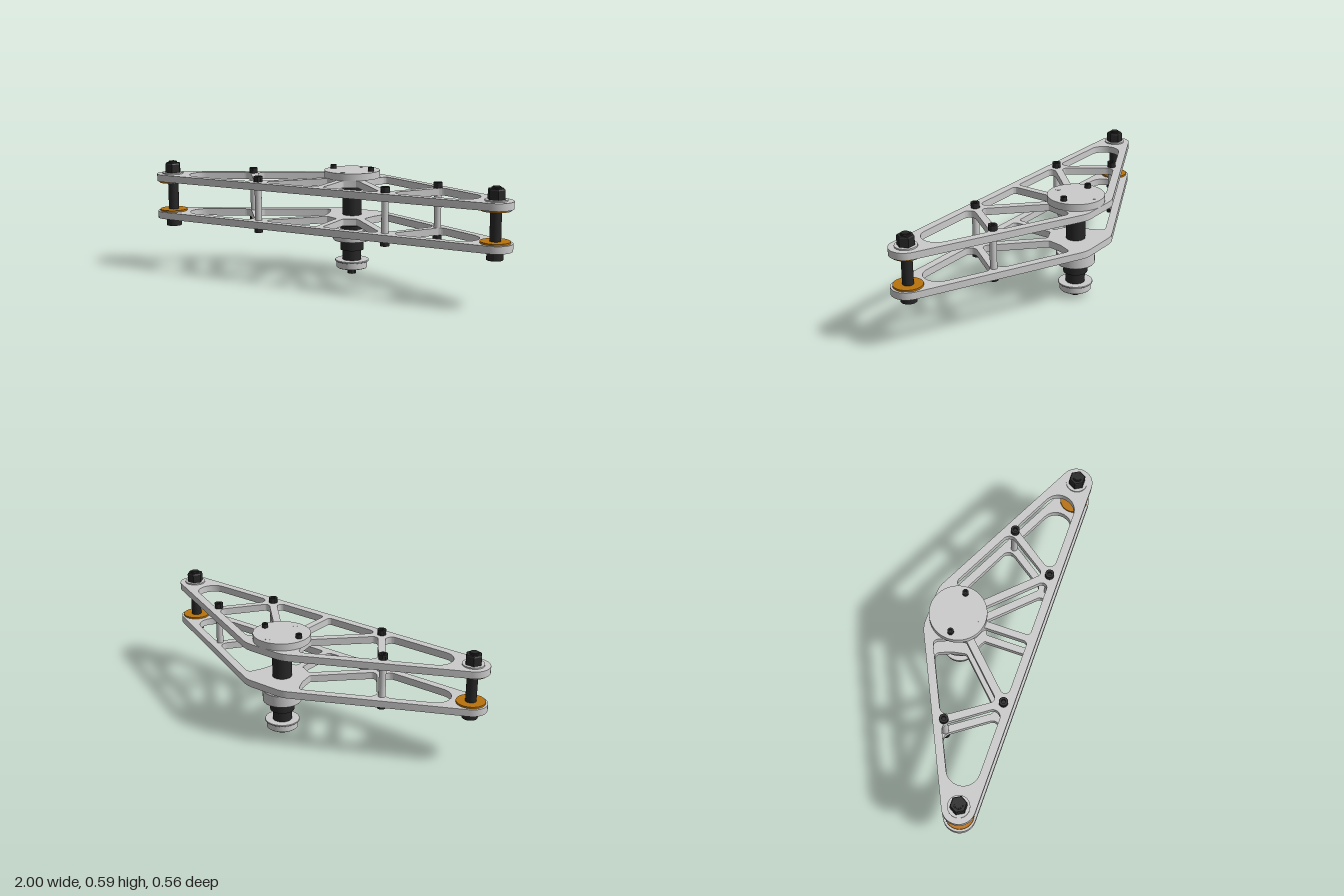
import * as THREE from 'three';
import { toCreasedNormals } from 'three/addons/utils/BufferGeometryUtils.js';

const grey = new THREE.MeshStandardMaterial({ color: 0xcccccc });
const black = new THREE.MeshStandardMaterial({ color: 0x262626 });
const amber = new THREE.MeshStandardMaterial({ color: 0xb9730c });
const HUB_Z = -0.135;

// Polygon of [x, z, radius] corners with true tangent-arc rounding
function roundedPoints(corners) {
  const out = [];
  corners.forEach(([x, z, r], i) => {
    const p = new THREE.Vector2(x, z);
    const n = corners.length, a = corners[(i + n - 1) % n], b = corners[(i + 1) % n];
    const u = new THREE.Vector2(a[0], a[1]).sub(p).normalize();
    const v = new THREE.Vector2(b[0], b[1]).sub(p).normalize();
    const half = Math.acos(u.dot(v)) / 2;
    const c = u.clone().add(v).normalize().multiplyScalar(r / Math.sin(half)).add(p);
    const start = u.multiplyScalar(r / Math.tan(half)).add(p).sub(c).angle();
    const end = v.multiplyScalar(r / Math.tan(half)).add(p).sub(c).angle();
    let sweep = end - start;
    if (sweep > Math.PI) sweep -= 2 * Math.PI;
    if (sweep < -Math.PI) sweep += 2 * Math.PI;
    for (let k = 0; k <= 12; k++) {
      const t = start + sweep * k / 12;
      out.push(new THREE.Vector2(c.x + r * Math.cos(t), c.y + r * Math.sin(t)));
    }
  });
  return out;
}

// Extrude an x/z shape between two heights
function slab(shape, y0, y1) {
  const g = new THREE.ExtrudeGeometry(shape, { depth: y1 - y0, bevelEnabled: false, curveSegments: 32 });
  g.rotateX(Math.PI / 2).translate(0, y1, 0);
  return toCreasedNormals(g, 0.6);
}

function add(parent, name, geometry, material, x = 0, z = 0) {
  const m = new THREE.Mesh(geometry, material);
  m.name = name;
  m.position.set(x, 0, z);
  parent.add(m);
}

// Upright cylinder between two heights
function rod(parent, name, r, y0, y1, material, x = 0, z = 0, sides = 40) {
  const g = new THREE.CylinderGeometry(r, r, y1 - y0, sides).translate(0, (y0 + y1) / 2, 0);
  add(parent, name, g, material, x, z);
}

// Hexagonal prism or taper with corners on the x axis
function hexPrism(parent, name, r, rTop, y0, y1) {
  const g = new THREE.CylinderGeometry(rTop, r, y1 - y0, 6).rotateY(Math.PI / 6).translate(0, (y0 + y1) / 2, 0);
  add(parent, name, toCreasedNormals(g, 0.3), black);
}

// Cap screw head with a hexagonal socket opening up or down
function capHead(parent, name, r, y0, y1, up, x = 0, z = 0) {
  const s = new THREE.Shape().absarc(0, 0, r, 0, Math.PI * 2);
  const hex = new THREE.Path();
  hex.setFromPoints([0, 1, 2, 3, 4, 5].map(i =>
    new THREE.Vector2(r * 0.52 * Math.cos(i * Math.PI / 3), r * 0.52 * Math.sin(i * Math.PI / 3))));
  s.holes.push(hex);
  add(parent, name, slab(s, y0, y1), black, x, z);
  const h = (y1 - y0) / 2;
  rod(parent, name + 'SocketFloor', r * 0.7, up ? y0 : y0 + h, up ? y1 - h : y1, black, x, z, 24);
}

// Bearing ring turned from a section with chamfered outer edges
function ring(parent, name, rIn, rOut, y0, y1, material, c = 0.002) {
  const pts = [[rIn, y0], [rOut - c, y0], [rOut, y0 + c], [rOut, y1 - c], [rOut - c, y1], [rIn, y1], [rIn, y0]];
  const g = new THREE.LatheGeometry(pts.map(p => new THREE.Vector2(...p)), 56);
  add(parent, name, toCreasedNormals(g, 0.5), material, 0, HUB_Z);
}

function trussShape() {
  // Counter-clockwise outline, so that the window walls face inward
  const shape = new THREE.Shape(roundedPoints([
    [-0.114, -0.282, 0.15], [0.114, -0.282, 0.15], [1.279, 0.282, 0.083], [-1.279, 0.282, 0.083]]));
  const windows = [
    // end window
    [[-1.097, 0.24, 0.083], [-0.374, 0.24, 0.035], [-0.561, -0.02, 0.04]],
    // middle window, beside the hub
    [[-0.525, -0.037, 0.04], [-0.36, 0.197, 0.025], [-0.115, -0.051, 0.015], [-0.13, -0.13, 0.05], [-0.165, -0.211, 0.025]],
    // window beside the centre rib
    [[-0.346, 0.24, 0.025], [-0.018, 0.24, 0.02], [-0.018, 0.012, 0.015], [-0.088, -0.022, 0.015]],
  ];
  for (const side of [1, -1])
    for (const w of windows)
      shape.holes.push(new THREE.Path(roundedPoints(w.map(([x, z, r]) => [x * side, z, r]))));
  return shape;
}

export function createModel() {
  const model = new THREE.Group();
  model.name = 'trussArm';

  // Pair of truss plates
  const truss = trussShape();
  add(model, 'lowerPlate', slab(truss, 0.286, 0.323), grey);
  add(model, 'upperPlate', slab(truss, 0.488, 0.525), grey);

  for (const side of [1, -1]) {
    // End pivot bolts with washers and nuts
    const end = new THREE.Group();
    end.name = side > 0 ? 'leftEndBolt' : 'rightEndBolt';
    end.position.set(side * 0.915, 0, 0.199);
    model.add(end);
    rod(end, 'shaft', 0.0275, 0.27, 0.54, black);
    rod(end, 'lowerSpacerWasher', 0.073, 0.323, 0.332, amber);
    rod(end, 'upperSpacerWasher', 0.073, 0.479, 0.488, amber);
    rod(end, 'lowerWasher', 0.055, 0.279, 0.286, grey);
    rod(end, 'upperWasher', 0.055, 0.525, 0.532, grey);
    capHead(end, 'boltHead', 0.04, 0.242, 0.279, false);
    hexPrism(end, 'nut', 0.0433, 0.0433, 0.532, 0.576);
    hexPrism(end, 'nutChamfer', 0.0433, 0.039, 0.576, 0.583);
    rod(end, 'nutCollar', 0.024, 0.583, 0.589, black);
    rod(end, 'threadTip', 0.02, 0.589, 0.593, black);

    // Standoff posts, screwed from above and below
    for (const [x, z] of [[0.537, -0.015], [0.36, 0.231]]) {
      rod(model, 'standoff', 0.018, 0.323, 0.488, grey, side * x, z, 32);
      capHead(model, 'upperStandoffScrew', 0.0225, 0.525, 0.553, true, side * x, z);
      capHead(model, 'lowerStandoffScrew', 0.0225, 0.259, 0.286, false, side * x, z);
    }

    // Hub cap screws
    capHead(model, 'capScrew', 0.016, 0.562, 0.583, true, side * 0.11, HUB_Z);
    rod(model, 'capScrewTip', 0.01, 0.479, 0.495, black, side * 0.11, HUB_Z, 24);
  }

  // Hub cap disc and locating pins
  rod(model, 'hubCap', 0.147, 0.525, 0.562, grey, 0, HUB_Z, 64);
  for (const dz of [0.11, -0.11])
    rod(model, 'locatingPin', 0.013, 0.479, 0.563, grey, 0, HUB_Z + dz, 24);

  // Stepped spindle below the hub
  rod(model, 'spindle', 0.05, 0.077, 0.5, black, 0, HUB_Z, 48);
  rod(model, 'spindleCollar', 0.063, 0.133, 0.267, black, 0, HUB_Z, 48);
  ring(model, 'upperBearing', 0.06, 0.101, 0.186, 0.249, grey);

  // Flanged lower bearing with shield, inner race and end bolt
  ring(model, 'lowerBearing', 0.066, 0.082, 0.034, 0.072, grey);
  ring(model, 'lowerBearingFlange', 0.045, 0.09, 0.07, 0.078, grey, 0.001);
  ring(model, 'bearingShield', 0.04, 0.068, 0.039, 0.072, black);
  ring(model, 'innerRace', 0.02, 0.045, 0.03, 0.075, grey);
  rod(model, 'endBoltShank', 0.021, 0.03, 0.08, black, 0, HUB_Z, 32);
  capHead(model, 'endBoltHead', 0.0225, 0, 0.03, false, 0, HUB_Z);

  return model;
}
